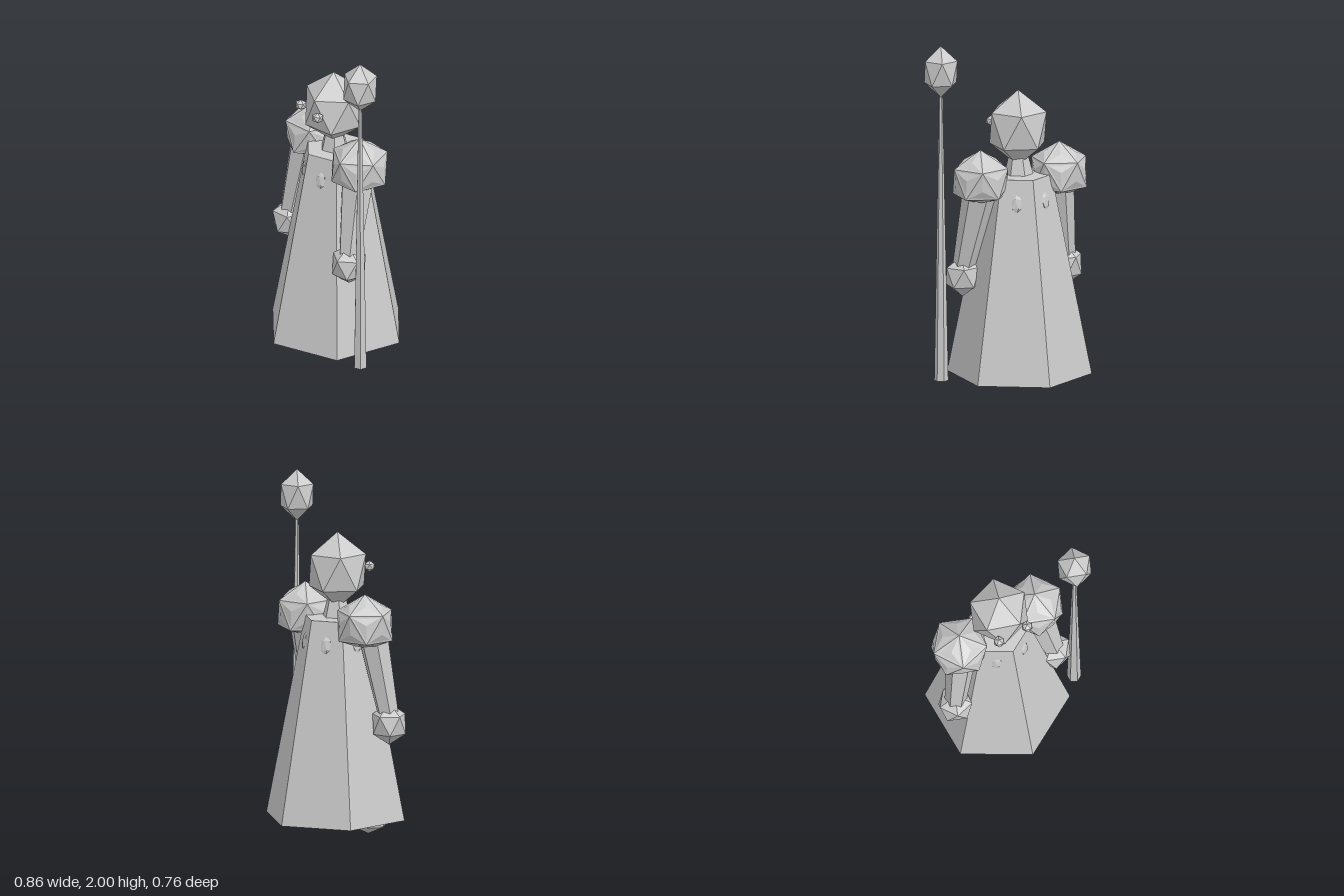
import * as THREE from 'three';

const material = new THREE.MeshStandardMaterial({ color: 0xcccccc, flatShading: true });

// Triangles of a unit icosahedron standing on a vertex; bottom sets the lower pole
function icoFaces(degrees, bottom = -1) {
  const ring = (y, offset) => Array.from({ length: 5 }, (_, k) => {
    const a = THREE.MathUtils.degToRad(degrees + offset + 72 * k);
    return new THREE.Vector3(0.894 * Math.cos(a), y, 0.894 * Math.sin(a));
  });
  const top = new THREE.Vector3(0, 1, 0), low = new THREE.Vector3(0, bottom, 0);
  const u = ring(0.447, 0), l = ring(-0.447, 36), faces = [];
  for (let k = 0; k < 5; k++) {
    const n = (k + 1) % 5;
    faces.push([top, u[n], u[k]], [u[k], u[n], l[k]], [l[k], u[n], l[n]], [low, l[k], l[n]]);
  }
  return faces;
}

function facesGeometry(faces) {
  const geometry = new THREE.BufferGeometry().setFromPoints(faces.flat());
  geometry.computeVertexNormals();
  return geometry;
}

// Each face gets a flat rim and a raised three-sided panel
function panelled(faces) {
  return faces.flatMap((f) => {
    const c = f[0].clone().add(f[1]).add(f[2]).divideScalar(3);
    const inner = f.map((p) => p.clone().lerp(c, 0.2));
    const apex = c.clone().multiplyScalar(1.08);
    return [0, 1, 2].flatMap((i) => {
      const j = (i + 1) % 3;
      return [[f[i], f[j], inner[j]], [f[i], inner[j], inner[i]], [inner[i], inner[j], apex]];
    });
  });
}

export function createModel() {
  const group = new THREE.Group();

  const add = (name, geometry, position, scale = [1, 1, 1]) => {
    const mesh = new THREE.Mesh(geometry, material);
    mesh.name = name;
    mesh.position.set(...position);
    mesh.scale.set(...scale);
    group.add(mesh);
    return mesh;
  };
  const gem = (name, position, r, h, degrees = 32) =>
    add(name, facesGeometry(icoFaces(degrees)), position, [r, h, r]);

  // Tapered six-sided limb between two points
  const limb = (name, from, to, r0, r1) => {
    const a = new THREE.Vector3(...from), b = new THREE.Vector3(...to);
    const axis = a.clone().sub(b);
    const geometry = new THREE.CylinderGeometry(r0, r1, axis.length(), 6).rotateY(Math.PI / 6);
    const mesh = add(name, geometry, a.clone().add(b).multiplyScalar(0.5).toArray());
    mesh.quaternion.setFromUnitVectors(new THREE.Vector3(0, 1, 0), axis.normalize());
  };

  // Robe and neck
  limb('robe', [0, 1.235, -0.027], [0, 0.08, -0.027], 0.182, 0.41);
  limb('neck', [-0.005, 1.36, -0.015], [-0.005, 1.2, -0.02], 0.05, 0.09);

  // Small folds in the upper robe, one per side
  for (let i = 0; i < 6; i++) {
    const a = Math.PI / 6 + (i * Math.PI) / 3;
    const fold = gem('robeFold', [0.177 * Math.cos(a), 1.1, -0.027 + 0.177 * Math.sin(a)], 1, 1);
    fold.scale.set(0.035, 0.06, 0.014);
    fold.rotation.set(-0.17, Math.PI / 2 - a, 0, 'YXZ');
  }

  // Head and floating eyes
  gem('head', [-0.007, 1.5, -0.012], 0.184, 0.22, 30);
  gem('rightEye', [-0.166, 1.512, 0.083], 0.034, 0.032);
  gem('leftEye', [-0.007, 1.512, 0.173], 0.034, 0.032);

  // Shoulder pads, arms, hands and feet
  const sides = [
    { side: 'right', pad: [-0.215, 1.22, -0.15], turn: 141, arm: [-0.245, 1.2, -0.12],
      hand: [-0.342, 0.65, -0.1], foot: [-0.205, 0.095, -0.06], r: 0.09 },
    { side: 'left', pad: [0.217, 1.22, 0.09], turn: 32, arm: [0.21, 1.2, 0.085],
      hand: [0.218, 0.65, 0.213], foot: [0.142, 0.095, 0.145], r: 0.105 },
  ];
  for (const s of sides) {
    add(s.side + 'ShoulderPad', facesGeometry(panelled(icoFaces(s.turn, -0.72))), s.pad, [0.18, 0.18, 0.18]);
    limb(s.side + 'Arm', s.arm, [s.hand[0], 0.68, s.hand[2]], s.r, 0.06);
    gem(s.side + 'Hand', s.hand, 0.108, 0.12, s.turn);
    gem(s.side + 'Foot', s.foot, 0.138, 0.095);
  }

  // Staff with its crystal
  limb('staff', [0.33, 1.74, 0.284], [0.33, 0.055, 0.281], 0.01, 0.04);
  gem('staffCrystal', [0.33, 1.85, 0.284], 0.108, 0.15);

  return group;
}
